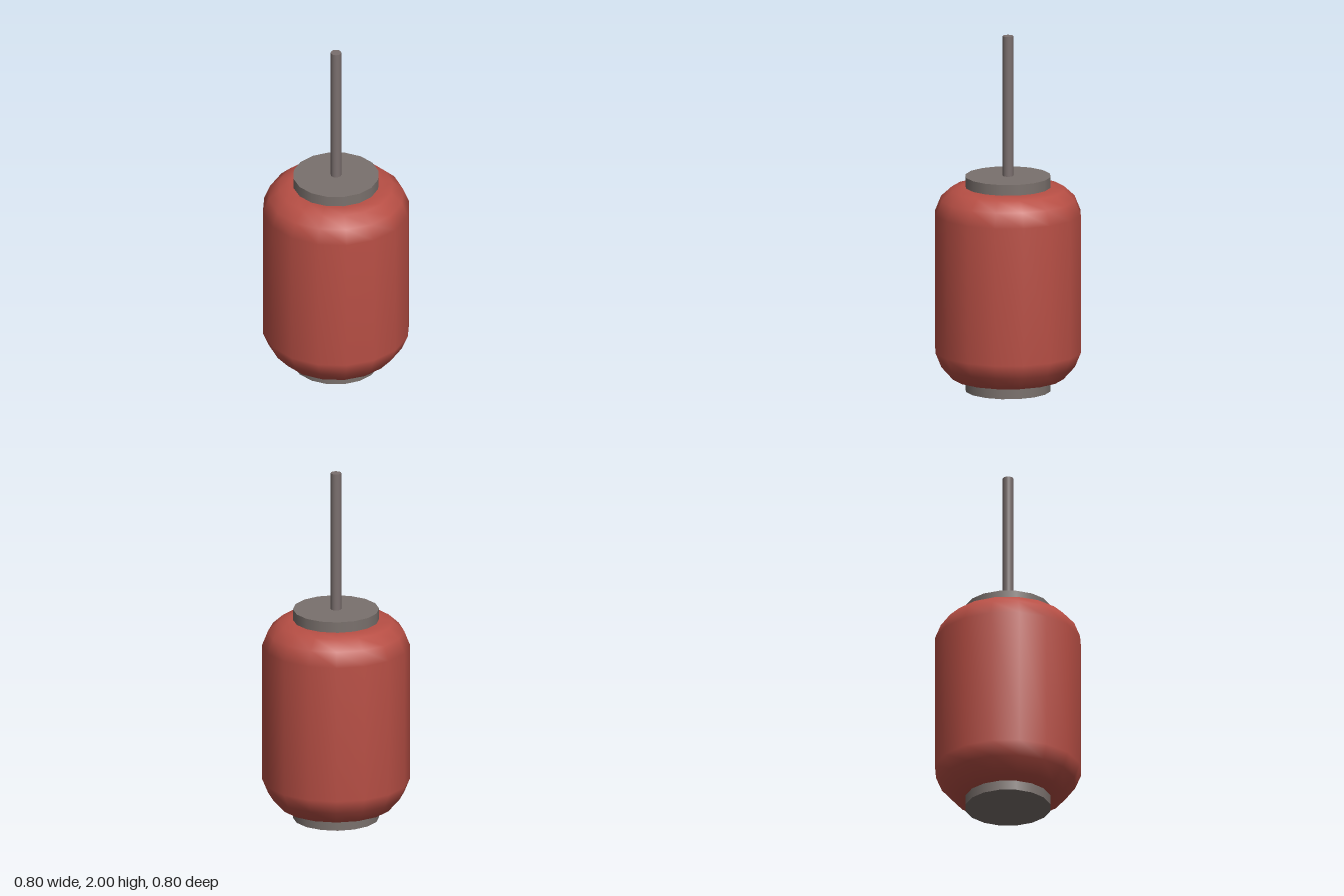
import * as THREE from 'three';

const material = (name, color) => {
  const m = new THREE.MeshStandardMaterial({ color });
  m.name = name;
  return m;
};

export function createModel() {
  const red = material('red body', 0xb84f45);
  const grey = material('grey caps', 0x7a716d);
  const rodGrey = material('warm grey rod', 0x7a6f6e);
  const model = new THREE.Group();
  model.name = 'cylinderWithRod';

  const add = (name, geometry, mat, y = 0) => {
    const mesh = new THREE.Mesh(geometry, mat);
    mesh.name = name;
    mesh.position.y = y;
    model.add(mesh);
  };

  // Upright disc or rod between two heights
  const addCylinder = (name, radius, y0, y1, sides, mat, start = 0) =>
    add(name, new THREE.CylinderGeometry(radius, radius, y1 - y0, sides, 1, false, start), mat, (y0 + y1) / 2);

  // Sixteen-sided body with rounded shoulders, flats facing front and sides
  const profile = [
    [0, 0.055], [0.24, 0.055], [0.31, 0.072], [0.375, 0.145], [0.408, 0.225],
    [0.408, 1.0], [0.375, 1.082], [0.315, 1.137], [0.25, 1.15], [0, 1.15],
  ].map(([r, y]) => new THREE.Vector2(r, y));
  add('body', new THREE.LatheGeometry(profile, 16, Math.PI / 16), red);

  // End caps, turned slightly against the body
  const turn = THREE.MathUtils.degToRad(13.1);
  addCylinder('bottomCap', 0.238, 0, 0.06, 16, grey, turn);
  addCylinder('topCap', 0.238, 1.145, 1.21, 16, grey, turn);

  // Rod standing on the top cap
  addCylinder('rod', 0.029, 1.2, 2, 32, rodGrey);

  return model;
}
